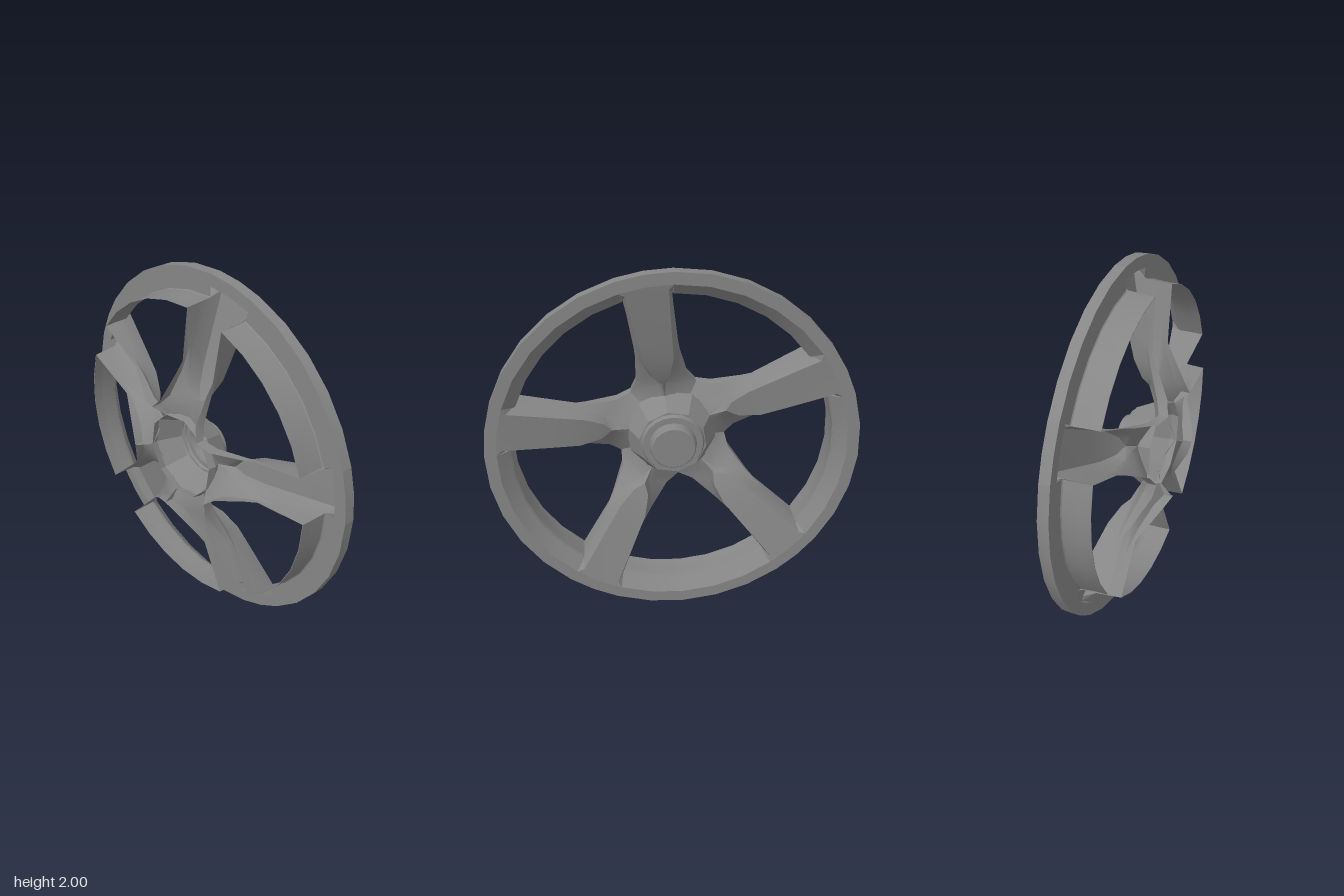
import * as THREE from 'three';
import { toCreasedNormals } from 'three/addons/utils/BufferGeometryUtils.js';

const RAD = Math.PI / 180;
const SPOKES = 5, FIRST = 26.6, STEP = 360 / SPOKES, HALF_GAP = 8.5;

const material = new THREE.MeshStandardMaterial({ color: 0x868686, side: THREE.DoubleSide });

function part(name, geometry, parent) {
  const mesh = new THREE.Mesh(toCreasedNormals(geometry, 30 * RAD), material);
  mesh.name = name;
  parent.add(mesh);
  return mesh;
}

// Revolve [radius, axial] points over an arc given in degrees
function revolve(points, segments, start = 0, sweep = 360) {
  const profile = points.map(([r, h]) => new THREE.Vector2(r, h));
  return new THREE.LatheGeometry(profile, segments, (start - 180) * RAD, sweep * RAD);
}

// Half cross-sections from hub to rim, each point [along, across, axial]:
// face edge, foot of the raised ridge, web edge, back of the skirt
const SECTIONS = [
  [[0.235, 0, -0.03], [0.235, 0.03, -0.04], [0.194, 0.141, -0.09], [0.194, 0.141, -0.1]],
  [[0.33, 0, 0.005], [0.315, 0.02, -0.03], [0.249, 0.181, -0.12], [0.249, 0.181, -0.17]],
  [[0.38, 0.045, 0.03], [0.38, 0.062, -0.025], [0.32, 0.14, -0.09], [0.32, 0.14, -0.15]],
  [[0.49, 0.078, 0.07], [0.48, 0.095, -0.01], [0.48, 0.12, -0.04], [0.48, 0.12, -0.075]],
  [[0.62, 0.088, 0.1], [0.62, 0.112, 0.01], [0.62, 0.115, -0.01], [0.54, 0.118, -0.045]],
  [[0.9, 0.108, 0.163], [0.865, 0.125, 0.1], [0.86, 0.127, 0.03], [0.855, 0.128, -0.045]],
  [[0.935, 0.11, 0.17], [0.925, 0.138, 0.17], [0.861, 0.129, 0.11], [0.855, 0.128, -0.045]],
];

// Mirror each half section and skin neighbouring sections
function spokeGeometry() {
  const position = [], index = [];
  for (const half of SECTIONS) {
    const mirrored = half.map(([a, w, h]) => [a, -w, h]).reverse();
    for (const [a, w, h] of [...mirrored, ...half]) position.push(a, h, w);
  }
  const n = SECTIONS[0].length * 2;
  for (let i = 0; i < SECTIONS.length - 1; i++) {
    for (let j = 0; j < n - 1; j++) {
      const a = i * n + j, b = a + n;
      // Diagonals mirror about the middle of the spoke
      if (j < n / 2) index.push(a, a + 1, b, a + 1, b + 1, b);
      else index.push(a, a + 1, b + 1, a, b + 1, b);
    }
  }
  const geometry = new THREE.BufferGeometry();
  geometry.setAttribute('position', new THREE.Float32BufferAttribute(position, 3));
  geometry.setIndex(index);
  return geometry;
}

export function createModel() {
  const model = new THREE.Group();
  model.name = 'wheelCover';

  // Built around the y axis, then laid over so the outer face looks along +x
  const wheel = new THREE.Group();
  wheel.name = 'wheel';
  wheel.rotation.z = -Math.PI / 2;
  wheel.position.y = 1;
  model.add(wheel);

  const flange = [[0.935, 0.17], [1, 0.17], [1, 0.11], [0.875, 0.11]];
  const flangeAtSpoke = [[0.935, 0.17], [1, 0.17], [1, 0.11], [0.93, 0.11], [0.935, 0.17]];
  const barrel = [[0.935, 0.17], [0.87, 0.11], [0.862, -0.045], [0.865, -0.045], [0.865, 0.1], [0.875, 0.11]];
  const spoke = spokeGeometry();

  for (let i = 0; i < SPOKES; i++) {
    const angle = FIRST + i * STEP;
    part('spoke', spoke, wheel).rotation.y = (angle - 270) * RAD;

    // The barrel is left open behind each spoke
    const start = angle + HALF_GAP, sweep = STEP - 2 * HALF_GAP;
    part('rimFlange', revolve(flange, 5, start, sweep), wheel);
    part('rimBarrel', revolve(barrel, 5, start, sweep), wheel);
    part('rimFlangeAtSpoke', revolve(flangeAtSpoke, 2, angle - HALF_GAP, 2 * HALF_GAP), wheel);
  }

  // Hub: hollow faceted cone, stepped collar and round cap
  part('hubCone', revolve([[0.24, -0.1], [0.25, -0.06], [0.185, 0.07], [0.165, 0.07]], 10, FIRST), wheel);
  part('hubCollar', revolve([[0.178, 0.06], [0.163, 0.09], [0.125, 0.09]], 20), wheel);
  part('hubCap', revolve([[0.13, 0.085], [0.122, 0.13], [0.115, 0.138], [0, 0.138]], 20), wheel);

  return model;
}
